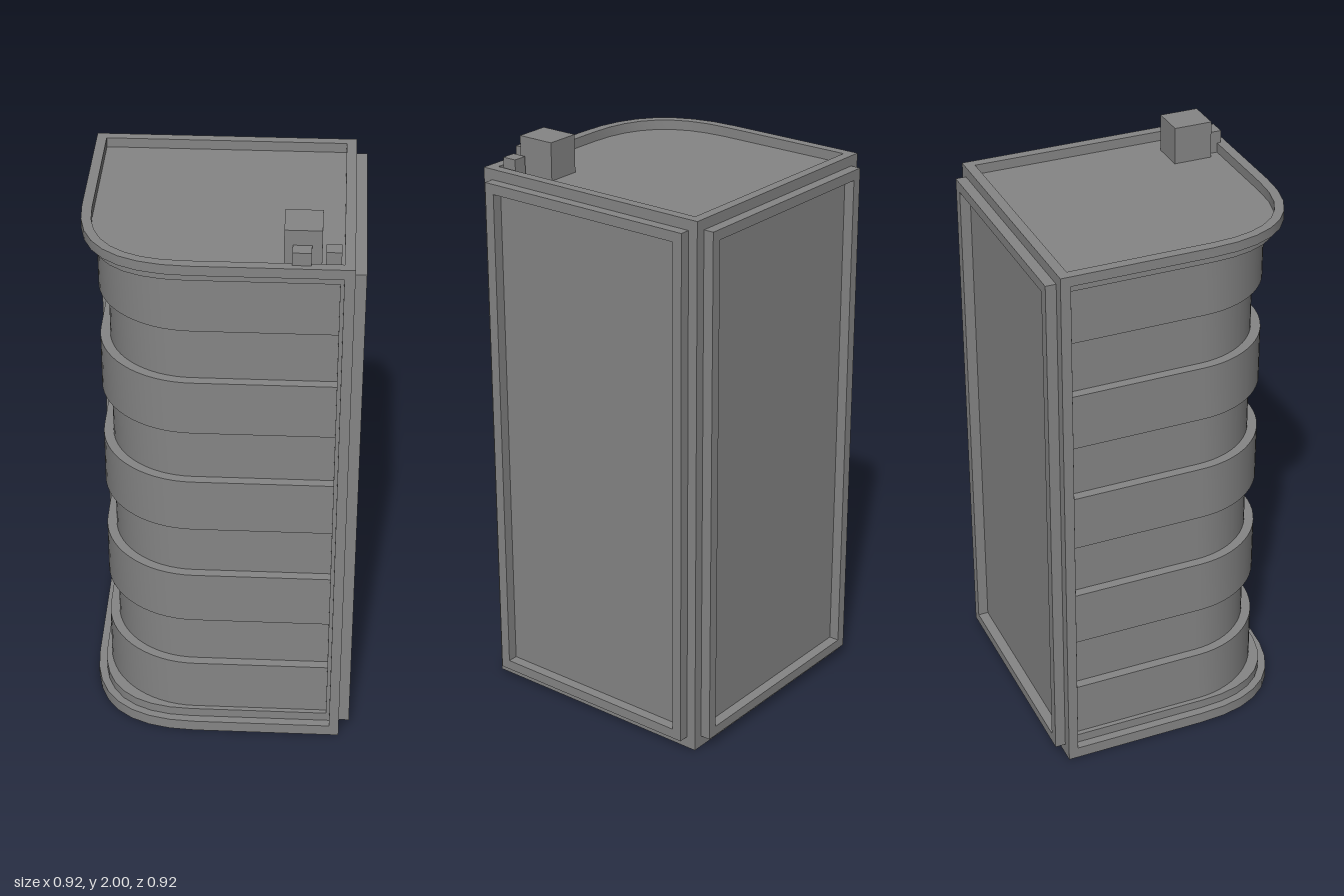
import * as THREE from 'three';
import { toCreasedNormals } from 'three/addons/utils/BufferGeometryUtils.js';

const X0 = -0.46, X1 = 0.423, Z0 = -0.423, Z1 = 0.46; // overall footprint
const TOP = 1.904, ROOF = 1.87, BASE = 0.041, EDGE = 0.034;
const BAND0 = 0.074, BAND1 = 1.835; // height range of the storeys
const IN_X = X1 - EDGE, IN_Z = Z0 + EDGE; // inner faces of the two plain walls
const TRIM = 0.012;

export function createModel() {
  const model = new THREE.Group();
  const material = new THREE.MeshStandardMaterial({ color: 0x858585 });

  const add = (name, geometry) => {
    const mesh = new THREE.Mesh(geometry, material);
    mesh.name = name;
    model.add(mesh);
    return mesh;
  };

  const box = (name, x0, x1, y0, y1, z0, z1) =>
    add(name, new THREE.BoxGeometry(x1 - x0, y1 - y0, z1 - z0))
      .position.set((x0 + x1) / 2, (y0 + y1) / 2, (z0 + z1) / 2);

  // Footprint with one rounded corner; shape y is -z.
  // Slabs have a fuller corner, the storeys a circular one.
  const outline = (path, inset, right, back, circular = false) => {
    const l = X0 + inset, f = Z1 - inset, c = 0.09 + (circular ? 0 : 0.4 * inset);
    path.moveTo(right, -back);
    path.lineTo(l, -back);
    path.lineTo(l, -c);
    if (circular) path.absarc(-c, -c, f - c, Math.PI, 1.5 * Math.PI, false);
    else path.quadraticCurveTo(l, -f, -c, -f);
    path.lineTo(right, -f);
    path.closePath();
    return path;
  };

  const slab = (name, shape, y0, y1) => {
    const geometry = new THREE.ExtrudeGeometry(shape, { depth: y1 - y0, bevelEnabled: false, curveSegments: 8 });
    geometry.rotateX(-Math.PI / 2);
    geometry.translate(0, y0, 0);
    add(name, toCreasedNormals(geometry, 0.5));
  };

  // Base, roof and parapet
  const parapet = outline(new THREE.Shape(), 0, X1, Z0);
  parapet.holes.push(outline(new THREE.Path(), EDGE, IN_X, IN_Z));
  slab('parapet', parapet, ROOF, TOP);
  slab('base', outline(new THREE.Shape(), 0, X1, Z0), 0, BASE);
  slab('lowerTrim', outline(new THREE.Shape(), 0.03, IN_X, IN_Z), BASE, BAND0);
  slab('roof', outline(new THREE.Shape(), 0.03, IN_X, IN_Z), BAND1, ROOF);

  // Plain walls and the thin trims where the bands meet them
  box('rightWall', IN_X, X1, BASE, ROOF, Z0, Z1);
  box('backWall', X0, IN_X, BASE, ROOF, Z0, IN_Z);
  box('frontTrim', IN_X - TRIM, IN_X, BAND0, BAND1, IN_Z, Z1 - 0.03);
  box('sideTrim', X0 + 0.03, IN_X - TRIM, BAND0, BAND1, IN_Z, IN_Z + TRIM);

  // Alternating projecting and recessed storeys
  const h = (BAND1 - BAND0) / 9;
  for (let i = 0; i < 9; i++) {
    const out = i % 2 === 0;
    const shape = outline(new THREE.Shape(), out ? 0.047 : 0.08, IN_X - TRIM, IN_Z + TRIM, true);
    slab(out ? 'balconyBand' : 'windowBand', shape, BAND0 + i * h, BAND0 + (i + 1) * h);
  }

  // Raised frames on the plain walls
  const frame = (name) => {
    const w = 0.813 / 2, y0 = BASE, y1 = 1.868;
    const rect = (path, d) => path.setFromPoints([
      [-w + d, y0 + d], [w - d, y0 + d], [w - d, y1 - d], [-w + d, y1 - d], [-w + d, y0 + d],
    ].map(([x, y]) => new THREE.Vector2(x, y)));
    const shape = rect(new THREE.Shape(), 0);
    shape.holes.push(rect(new THREE.Path(), 0.035));
    return add(name, new THREE.ExtrudeGeometry(shape, { depth: 0.036, bevelEnabled: false }));
  };
  const side = frame('rightFrame');
  side.rotation.y = Math.PI / 2;
  side.position.set(X1, 0, 0.0175);
  const rear = frame('backFrame');
  rear.rotation.y = Math.PI;
  rear.position.set(-0.0175, 0, Z0);

  // Rooftop boxes
  box('roofHut', 0.2, 0.319, ROOF, 2, 0.256, 0.39);
  box('hutAnnex', 0.227, 0.287, ROOF, 1.948, 0.39, 0.439);
  box('roofVent', 0.331, 0.38, ROOF, 1.937, 0.36, 0.411);

  return model;
}
